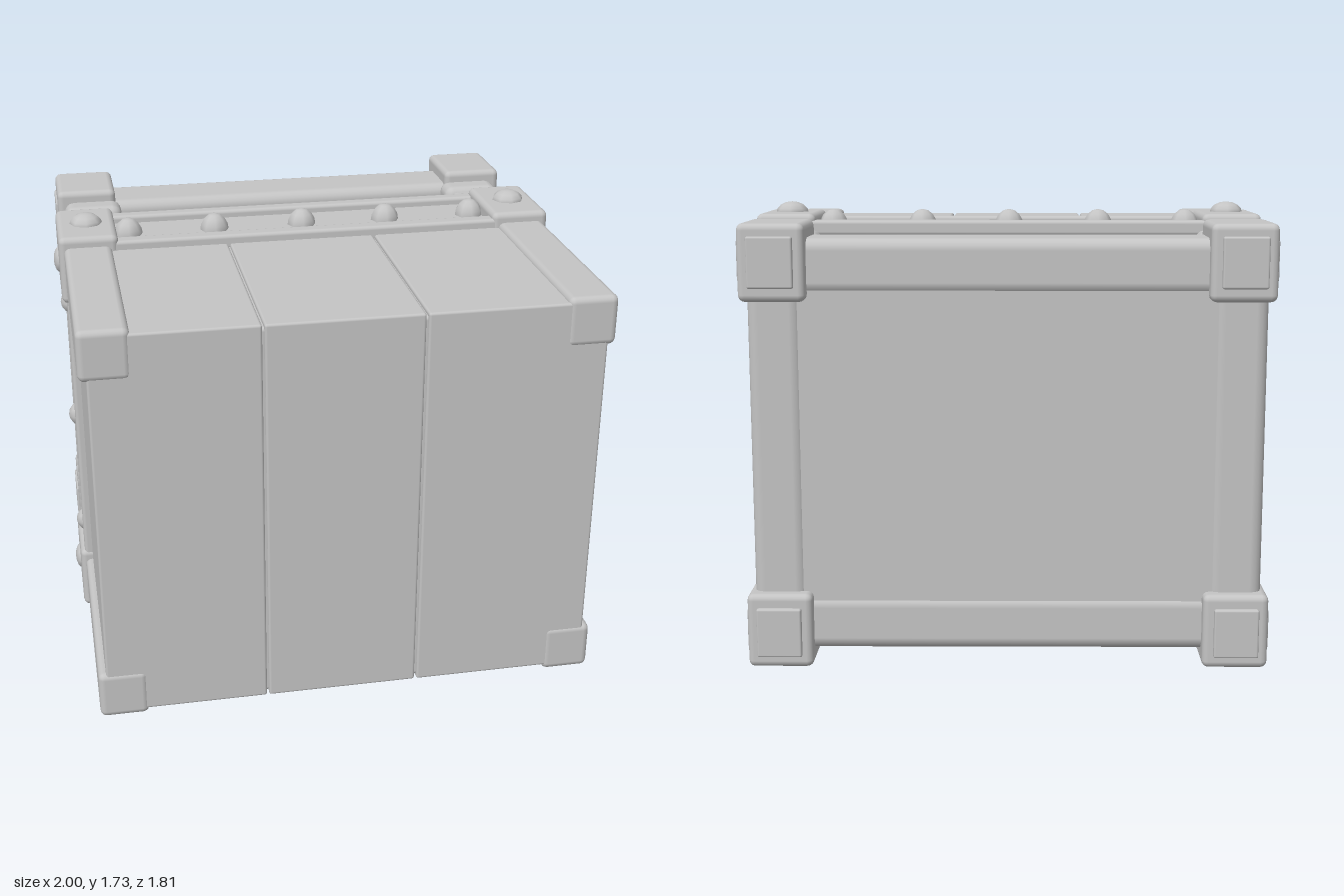
import * as THREE from 'three';
import { RoundedBoxGeometry } from 'three/addons/geometries/RoundedBoxGeometry.js';

export function createModel() {
  const model = new THREE.Group();
  model.name = 'crate';
  const crate = new THREE.Group();
  crate.name = 'crateParts';
  crate.position.y = 0.865; // parts are mirrored about the crate's mid height
  model.add(crate);

  const grey = new THREE.MeshStandardMaterial({ color: 0xc4c4c4 });
  grey.name = 'plain grey';

  // Softly bevelled box given by its extents
  const box = (name, x0, x1, y0, y1, z0, z1, r = 0.015) => {
    const geo = new RoundedBoxGeometry(x1 - x0, y1 - y0, z1 - z0, 2, r);
    const mesh = new THREE.Mesh(geo, grey);
    mesh.name = name;
    mesh.position.set((x0 + x1) / 2, (y0 + y1) / 2, (z0 + z1) / 2);
    crate.add(mesh);
    return mesh;
  };
  // Same box mirrored to the other side of x or y
  const span = (s, a, b) => (s > 0 ? [a, b] : [-b, -a]);
  const boxX = (name, s, a, b, ...rest) => box(name, ...span(s, a, b), ...rest);
  const boxY = (name, x0, x1, s, a, b, ...rest) => box(name, x0, x1, ...span(s, a, b), ...rest);

  // Low domed rivet pointing along a direction
  const rivetGeo = new THREE.SphereGeometry(1, 8, 4, 0, Math.PI * 2, 0, Math.PI / 2);
  const up = new THREE.Vector3(0, 1, 0);
  const rivet = (x, y, dir, radius, height) => {
    const mesh = new THREE.Mesh(rivetGeo, grey);
    mesh.name = 'rivet';
    mesh.scale.set(radius, height, radius);
    mesh.quaternion.setFromUnitVectors(up, dir);
    mesh.position.set(x, y, -0.15);
    crate.add(mesh);
  };

  // Front body: core and three planks that wrap over top, front and bottom
  box('bodyCore', -0.925, 0.925, -0.75, 0.75, -0.1, 0.885);
  const seams = [-0.935, -0.32, 0.26, 0.935];
  for (let i = 0; i < 3; i++) {
    box('plank', seams[i] + 0.004, seams[i + 1] - 0.004, -0.765, 0.765, -0.02, 0.895, 0.01);
  }

  // Band: recessed core
  box('bandCore', -0.935, 0.935, -0.77, 0.77, -0.34, 0.025);

  // Middle section behind the band
  box('middleCore', -0.88, 0.88, -0.71, 0.71, -0.66, -0.3);
  box('middleLedge', -0.9, 0.9, -0.735, 0.735, -0.49, -0.3, 0.04);

  // Back panel
  box('backPanel', -0.85, 0.85, -0.7, 0.7, -0.835, -0.6);

  for (const sy of [1, -1]) {
    // Band edge rails across top and bottom
    boxY('bandRail', -0.8, 0.8, sy, 0.74, 0.8, -0.035, 0.03, 0.015);
    boxY('bandRail', -0.8, 0.8, sy, 0.74, 0.8, -0.345, -0.285, 0.015);
    // Back rails across top and bottom
    boxY('backRail', -0.8, 0.8, sy, 0.56, 0.765, -0.845, -0.59, 0.045);
    for (const x of [-0.7, -0.355, 0, 0.345, 0.7]) {
      rivet(x, sy * 0.765, new THREE.Vector3(0, sy, 0), 0.058, 0.07);
    }
  }

  for (const sx of [1, -1]) {
    // Band edge rails and back posts on the sides
    boxX('bandSideRail', sx, 0.9, 0.962, -0.62, 0.62, -0.055, 0.03);
    boxX('bandSideRail', sx, 0.9, 0.962, -0.62, 0.62, -0.345, -0.28);
    boxX('backPost', sx, 0.74, 0.94, -0.62, 0.62, -0.845, -0.59, 0.045);
    for (const y of [-0.5, 0, 0.5]) {
      rivet(sx * 0.93, y, new THREE.Vector3(sx, 0, 0), 0.055, 0.055);
    }

    for (const sy of [1, -1]) {
      // Body edge trim running front to back
      const trim = boxX('bodyEdgeTrim', sx, 0.775, 0.96, ...span(sy, 0.595, 0.785), -0.02, 0.9, 0.025);
      trim.name = 'bodyEdgeTrim';
      // Band corner caps with a rivet on each outer face
      boxX('bandCorner', sx, 0.75, 0.98, ...span(sy, 0.555, 0.825), -0.345, 0.035, 0.025);
      rivet(sx * 0.865, sy * 0.82, new THREE.Vector3(0, sy, 0), 0.065, 0.045);
      rivet(sx * 0.975, sy * 0.68, new THREE.Vector3(sx, 0, 0), 0.055, 0.025);
      // Necks joining band and back corners
      boxX('cornerNeck', sx, 0.72, 0.925, ...span(sy, 0.56, 0.755), -0.62, -0.33, 0.035);
      boxX('cornerCollar', sx, 0.7, 0.935, ...span(sy, 0.54, 0.775), -0.62, -0.49, 0.04);
      // Back corner caps with raised plates
      boxX('backCorner', sx, 0.72, 0.962, ...span(sy, 0.54, 0.82), -0.89, -0.585, 0.025);
      boxX('cornerBackPlate', sx, 0.76, 0.925, ...span(sy, 0.59, 0.775), -0.908, -0.87, 0.008);
      boxX('cornerSidePlate', sx, 0.94, 0.97, ...span(sy, 0.61, 0.76), -0.84, -0.64, 0.008);
    }
  }
  return model;
}
